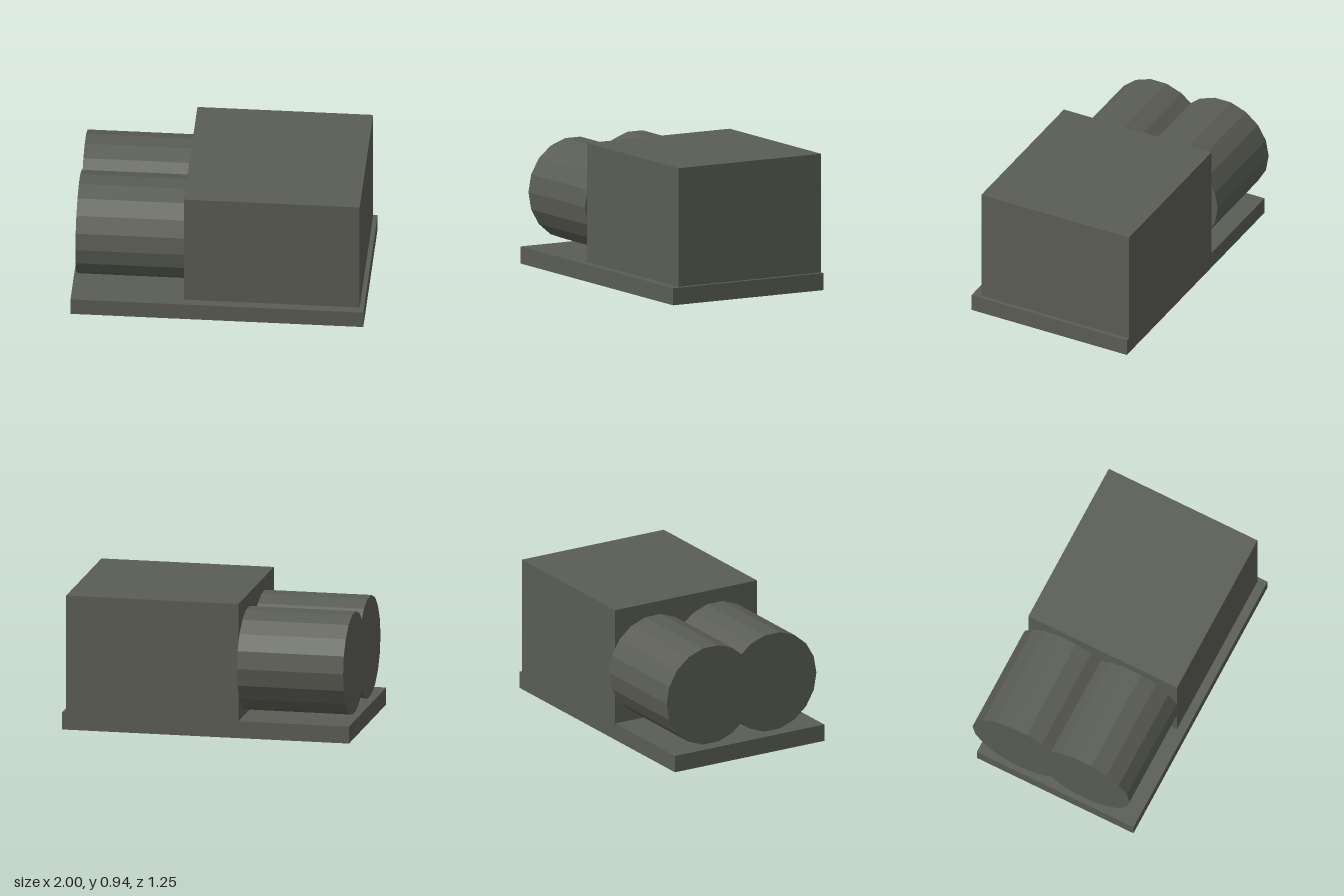
import * as THREE from 'three';

export function createModel() {
  const group = new THREE.Group();
  const grey = new THREE.MeshStandardMaterial({ color: 0x5a5d54 });
  grey.name = 'dark olive grey';

  function add(name, geometry, x, y, z) {
    const mesh = new THREE.Mesh(geometry, grey);
    mesh.name = name;
    mesh.position.set(x, y, z);
    group.add(mesh);
  }

  // Block given by its lower and upper limits on each axis
  function block(name, [x0, x1], [y0, y1], [z0, z1]) {
    add(name, new THREE.BoxGeometry(x1 - x0, y1 - y0, z1 - z0),
      (x0 + x1) / 2, (y0 + y1) / 2, (z0 + z1) / 2);
  }

  block('basePlate', [-1, 1], [0, 0.118], [-0.575, 0.623]);
  block('housing', [-0.23, 0.97], [0.118, 0.937], [-0.575, 0.562]);

  // Two overlapping faceted drums lying along x, with a corner facing front and back
  for (const [name, z] of [['rearDrum', -0.27], ['frontDrum', 0.225]]) {
    const drum = new THREE.CylinderGeometry(0.353, 0.353, 0.74, 18).rotateZ(Math.PI / 2).toNonIndexed();
    drum.computeVertexNormals();
    add(name, drum, -0.6, 0.493, z);
  }

  return group;
}
